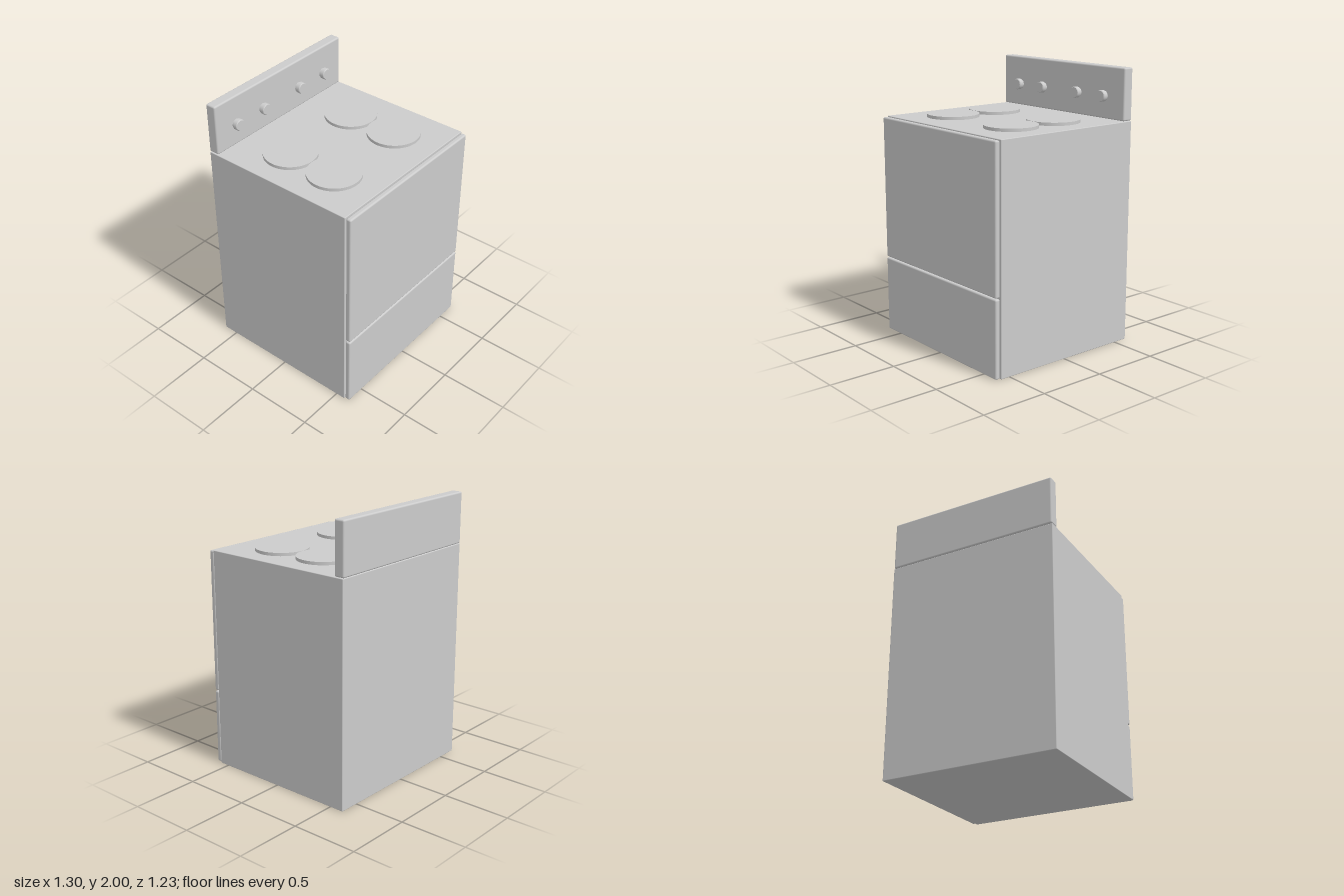
import * as THREE from 'three';
import { RoundedBoxGeometry } from 'three/addons/geometries/RoundedBoxGeometry.js';

export function createModel() {
  const group = new THREE.Group();
  const enamel = new THREE.MeshStandardMaterial({ color: 0xcccccc });
  enamel.name = 'enamel';

  function add(name, geometry, x, y, z) {
    const mesh = new THREE.Mesh(geometry, enamel);
    mesh.name = name;
    mesh.position.set(x, y, z);
    group.add(mesh);
    return mesh;
  }

  // Softly rounded block given by its y and z limits, centred on x
  function block(name, width, y0, y1, z0, z1, radius) {
    add(name, new RoundedBoxGeometry(width, y1 - y0, z1 - z0, 3, radius),
      0, (y0 + y1) / 2, (z0 + z1) / 2);
  }

  // Cabinet, door, drawer and control panel
  block('body', 1.3, 0, 1.625, -0.61, 0.572, 0.005);
  block('ovenDoor', 1.29, 0.572, 1.62, 0.576, 0.615, 0.012);
  block('drawer', 1.29, 0.003, 0.565, 0.576, 0.615, 0.012);
  block('controlPanel', 1.295, 1.627, 2, -0.615, -0.535, 0.012);

  // Four flat burners
  for (const x of [-0.325, 0.325]) {
    for (const z of [-0.165, 0.219]) {
      add('burner', new THREE.CylinderGeometry(0.19, 0.19, 0.025, 64), x, 1.635, z);
    }
  }

  // Knobs: a stem with a chamfered cap, turned to face the front
  const knobProfile = [[0, 0], [0.035, 0], [0.035, 0.008], [0.041, 0.012],
    [0.041, 0.038], [0.037, 0.043], [0, 0.043]];
  // Each profile segment is turned separately to keep its edges crisp
  for (const x of [-0.458, -0.192, 0.184, 0.452]) {
    const knob = new THREE.Group();
    knob.name = 'knob';
    for (let i = 0; i < knobProfile.length - 1; i++) {
      const points = [knobProfile[i], knobProfile[i + 1]].map(p => new THREE.Vector2(...p));
      const ring = new THREE.Mesh(new THREE.LatheGeometry(points, 32), enamel);
      ring.name = 'knobRing';
      knob.add(ring);
    }
    knob.rotation.x = Math.PI / 2;
    knob.position.set(x, 1.79, -0.535);
    group.add(knob);
  }

  return group;
}
